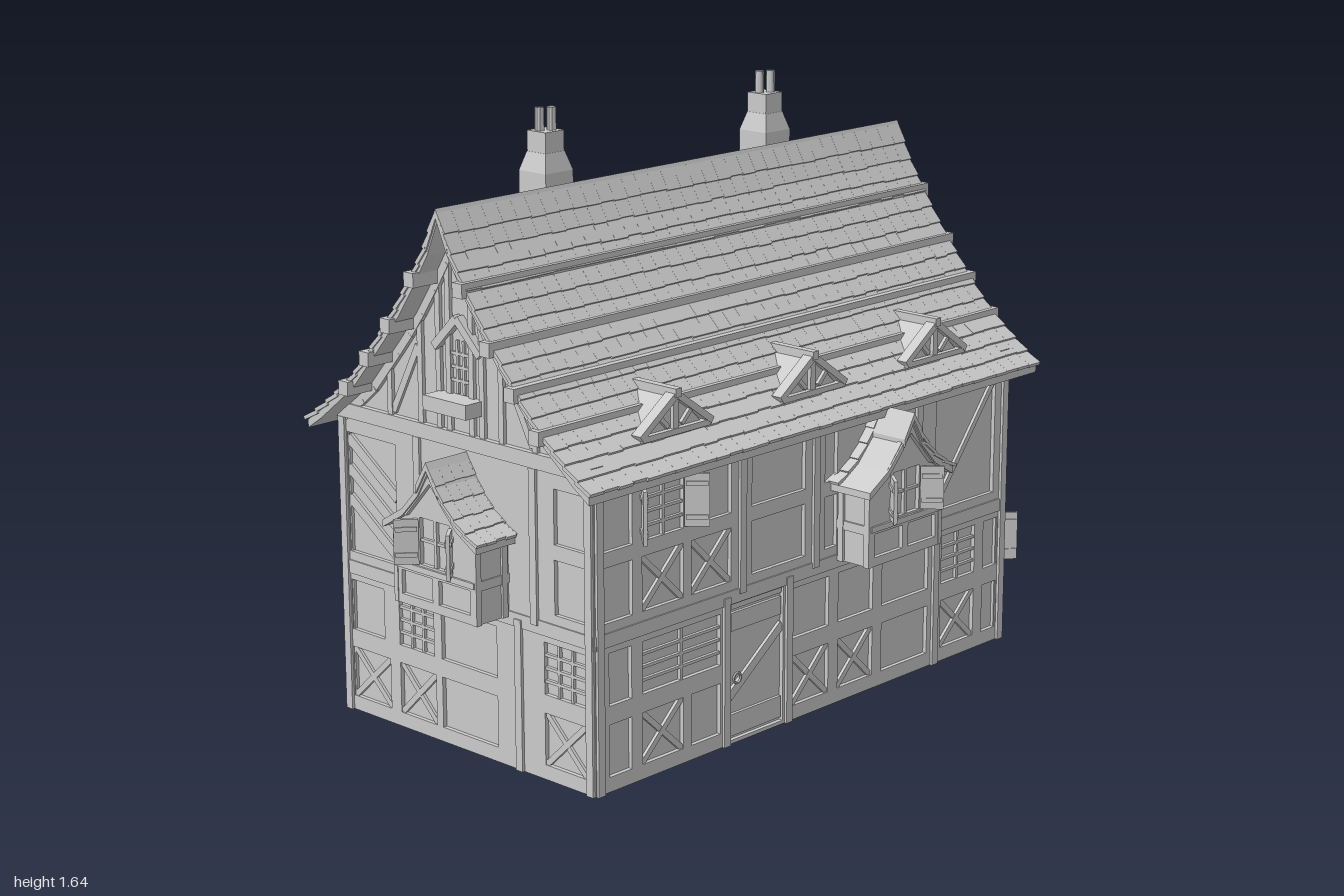
import * as THREE from 'three';
import { mergeGeometries } from 'three/addons/utils/BufferGeometryUtils.js';
import { ConvexGeometry } from 'three/addons/geometries/ConvexGeometry.js';

const mat = new THREE.MeshStandardMaterial({ color: 0xcccccc, flatShading: true });
const V = (x, y, z) => new THREE.Vector3(x, y, z);
let seed = 7;
const rand = () => (seed = (seed * 16807) % 2147483647) / 2147483647;

function add(parent, name, geometry, x = 0, y = 0, z = 0) {
  const m = new THREE.Mesh(geometry, mat);
  m.name = name;
  m.position.set(x, y, z);
  parent.add(m);
  return m;
}
function group(parent, name, x = 0, y = 0, z = 0, ry = 0) {
  const g = new THREE.Group();
  g.name = name;
  g.position.set(x, y, z);
  g.rotation.y = ry;
  parent.add(g);
  return g;
}
// Box given by its limits
const block = (p, name, x0, x1, y0, y1, z0, z1) =>
  add(p, name, new THREE.BoxGeometry(x1 - x0, y1 - y0, z1 - z0), (x0 + x1) / 2, (y0 + y1) / 2, (z0 + z1) / 2);
// Straight timber between two points of a wall plane
function beam(p, name, x0, y0, x1, y1, w, z0, z1) {
  const m = add(p, name, new THREE.BoxGeometry(Math.hypot(x1 - x0, y1 - y0), w, z1 - z0), (x0 + x1) / 2, (y0 + y1) / 2, (z0 + z1) / 2);
  m.rotation.z = Math.atan2(y1 - y0, x1 - x0);
}
function extrude(points, depth, holes = []) {
  const shape = new THREE.Shape(points.map(([x, y]) => new THREE.Vector2(x, y)));
  for (const [a, b, c, d] of holes)
    shape.holes.push(new THREE.Path([[a, c], [a, d], [b, d], [b, c]].map(([x, y]) => new THREE.Vector2(x, y))));
  return new THREE.ExtrudeGeometry(shape, { depth, bevelEnabled: false });
}

// Roof profiles: distance from the ridge, height
const MAIN = [[0, 1.45], [0.04, 1.36], [0.1, 1.265], [0.155, 1.185], [0.21, 1.115], [0.34, 0.965], [0.47, 0.862], [0.525, 0.825]];
const SMALL = [[0, 0.815], [0.04, 0.748], [0.1, 0.685], [0.175, 0.64]];
function heightAt(profile, d) {
  const i = Math.max(1, profile.findIndex(q => q[0] >= Math.abs(d) - 1e-6));
  const [a, b] = [profile[i - 1], profile[i]];
  return a[1] + (b[1] - a[1]) * (Math.abs(d) - a[0]) / (b[0] - a[0]);
}
const mirrored = half => [...half.slice().reverse().map(([d, y]) => [-d, y]), ...half.slice(1)];

// Swept two-sided roof, ridge along x, covered by ragged courses of shingles
function shingledRoof(parent, name, profile, x0, x1, rows, columns, thick) {
  const g = group(parent, name);
  const top = mirrored(profile);
  const slab = (pts, up, down) => [...pts.map(([d, y]) => [d, y - up]), ...pts.slice().reverse().map(([d, y]) => [d, y - down])].reverse();
  const deck = extrude(slab(top, thick, thick * 2.6), x1 - x0 - 0.01).rotateY(Math.PI / 2).translate(x0 + 0.005, 0, 0);
  add(g, 'roofDeck', deck);
  const capPts = [-1, 0, 1].map(s => [s * profile[1][0], profile[s ? 1 : 0][1]]);
  add(g, 'ridgeCap', extrude(slab(capPts, 0, thick * 1.8), x1 - x0).rotateY(Math.PI / 2).translate(x0, 0, 0));
  const curve = new THREE.CatmullRomCurve3(profile.map(([d, y]) => V(0, y - thick * 0.9, d)));
  const pts = curve.getSpacedPoints(rows);
  const w = (x1 - x0) / columns, tiles = [];
  for (const side of [0, Math.PI])
    for (let r = 0; r < rows; r++) {
      const T = pts[r], B = pts[r + 1], L = T.distanceTo(B);
      const a = Math.atan2(T.y - B.y, B.z - T.z);
      for (let c = 0; c < columns; c++) {
        const len = L * (1.06 + 0.1 * rand());
        tiles.push(new THREE.BoxGeometry(w * 0.995, thick * 0.75, len)
          .translate(0, 0, len / 2).rotateX(a - thick * 0.45 / L)
          .translate(x0 + w * (c + 0.5), T.y, T.z).rotateY(side));
      }
    }
  add(g, 'shingles', mergeGeometries(tiles));
  return g;
}

// Fillings of a wall panel: cross, braces, lattice or slats
function fillPanel(p, [a, b, c, d, kind]) {
  const z0 = -0.02, z1 = -0.003, mx = (a + b) / 2;
  if (kind === 'x' || kind === '/') beam(p, 'brace', a, c, b, d, 0.016, z0, z1);
  if (kind === 'x' || kind === '\\') beam(p, 'brace', a, d, b, c, 0.016, z0, z1 - 0.001);
  if (kind === 'braces' || kind === 'bracesFlip')
    for (const t of [0.05, 0.3, 0.55]) {
      const y0 = c + (d - c) * t, y1 = y0 + (d - c) * 0.4;
      const f = kind === 'braces';
      beam(p, 'brace', a, f ? y0 : y1, b, f ? y1 : y0, 0.03, z0, z1);
    }
  if (kind === 'grid' || kind === 'slats') {
    const n = kind === 'grid' ? 3 : 2, h = 0.008;
    for (let i = 1; i < n; i++) beam(p, 'mullion', a + (b - a) * i / n, c, a + (b - a) * i / n, d, h, z0, z1);
    for (let i = 1; i < 4; i++) beam(p, 'glazingBar', a, c + (d - c) * i / 4, b, c + (d - c) * i / 4, h, z0, z1);
  }
  if (kind === 'door') {
    for (const [y0, y1] of [[0.02, 0.08], [0.31, 0.36], [0.37, 0.4]]) block(p, 'doorRail', a + 0.005, b - 0.005, c + y0 - 0.01, c + y1 - 0.01, z0, z1);
    beam(p, 'doorBrace', a, c + 0.12, b, c + 0.27, 0.025, z0, z1);
    add(p, 'doorRing', new THREE.TorusGeometry(0.014, 0.004, 6, 16), mx - 0.08, 0.18, 0.002);
  }
}

// Timber frame with recessed panels; outer face at z = 0
function timberWall(parent, name, u0, u1, top, panels, posts, x, z, ry) {
  const g = group(parent, name, x, 0, z, ry);
  add(g, 'timberFrame', extrude([[u0, 0], [u1, 0], [u1, top], [u0, top]], 0.03, panels), 0, 0, -0.03);
  block(g, 'plaster', u0 + 0.01, u1 - 0.01, 0.001, top, -0.02, -0.012);
  panels.forEach(p => fillPanel(g, p));
  for (const [u, y0, y1] of posts) block(g, 'post', u - 0.012, u + 0.012, y0, y1, -0.035, 0.008);
  block(g, 'middleRail', u0, u1, 0.388, 0.425, -0.035, 0.004);
  return g;
}

// Open shutter hinged at u, swinging outwards on the given side
function shutter(p, u, y0, y1, z, side, angle = 0.85) {
  const g = group(p, 'shutter', u, 0, z, side > 0 ? -angle : Math.PI + angle);
  block(g, 'shutterBoard', 0, 0.064, y0, y1, -0.005, 0.005);
  for (const y of [y0 + 0.02, y1 - 0.032]) block(g, 'shutterBatten', 0.004, 0.06, y, y + 0.012, -0.009, 0.009);
}

// Bay window with a small swept roof
function bayWindow(parent, u) {
  const g = group(parent, 'bayWindow', u, 0, 0);
  const D = 0.115, W = 0.148;
  const under = mirrored([[0, 0.78], [0.04, 0.715], [0.1, 0.655], [W, 0.63]]);
  const face = [[-W, 0.41], [W, 0.41], ...under.slice().reverse()];
  add(g, 'bayBody', extrude(face, D - 0.012));
  add(g, 'bayFrame', extrude(face, 0.012, [[-0.128, -0.012, 0.435, 0.5], [0.012, 0.128, 0.435, 0.5], [-0.055, 0.055, 0.53, 0.655]]), 0, 0, D - 0.012);
  beam(g, 'mullion', 0, 0.53, 0, 0.655, 0.01, D - 0.014, D - 0.002);
  beam(g, 'glazingBar', -0.055, 0.595, 0.055, 0.595, 0.008, D - 0.014, D - 0.003);
  block(g, 'baySill', -W, W, 0.508, 0.524, 0, D + 0.006);
  for (const s of [-1, 1]) {
    shutter(g, s * 0.06, 0.53, 0.65, D, s);
    beam(g, 'gableRafter', 0, 0.77, s * 0.1, 0.66, 0.018, D, D + 0.015);
    for (const z of [0.008, D - 0.016]) block(g, 'bayPost', s * W - 0.008, s * W + 0.006, 0.41, 0.635, z, z + 0.018);
    block(g, 'sideRail', s * W - 0.006, s * W + 0.004, 0.5, 0.525, 0, D);
  }
  shingledRoof(g, 'bayRoof', SMALL, -0.14, 0.03, 5, 5, 0.012).rotation.y = Math.PI / 2;
}

// Gable above an end wall, centred on u = c
function gable(g, c) {
  const curve = [];
  for (let i = -10; i <= 10; i++) curve.push([c + i * 0.0475, heightAt(MAIN, i * 0.0475) - 0.03]);
  add(g, 'gablePlaster', extrude([[c - 0.475, 0.8], [c + 0.475, 0.8], ...curve.slice().reverse()], 0.02), 0, 0, -0.03);
  block(g, 'tieBeam', c - 0.475, c + 0.475, 0.82, 0.86, -0.035, 0.006);
  for (let i = 0; i < 20; i++)
    beam(g, 'gableRafter', curve[i][0], curve[i][1] - 0.018, curve[i + 1][0], curve[i + 1][1] - 0.018, 0.034, -0.03, 0.002);
  for (const s of [-1, 1]) {
    for (const d of [0.042, 0.08, 0.15, 0.27]) block(g, 'gablePost', c + s * d - 0.009, c + s * d + 0.009, 0.86, heightAt(MAIN, d) - 0.05, -0.03, 0);
    beam(g, 'archBrace', c, 1.16, c + s * 0.085, 1.075, 0.022, -0.03, 0.012);
    beam(g, 'sideBrace', c + s * 0.16, 1.06, c + s * 0.26, 0.87, 0.02, -0.03, -0.002);
  }
  block(g, 'windowLedge', c - 0.08, c + 0.08, 0.918, 0.957, -0.02, 0.055);
  fillPanel(g, [c - 0.035, c + 0.035, 0.96, 1.1, 'grid']);
}

function dormer(parent, x) {
  const g = group(parent, 'dormer', x);
  add(g, 'dormerBody', new ConvexGeometry([V(-0.125, 0.87, 0.385), V(0.125, 0.87, 0.385), V(0, 0.985, 0.385), V(0, 0.985, 0.24)]));
  block(g, 'dormerRidge', -0.011, 0.011, 0.975, 0.998, 0.24, 0.405);
  for (const s of [-1, 1]) {
    beam(g, 'dormerRafter', 0, 0.982, s * 0.13, 0.89, 0.018, 0.37, 0.402);
    beam(g, 'dormerStrut', s * 0.025, 0.9, s * 0.06, 0.935, 0.012, 0.38, 0.395);
  }
  block(g, 'dormerSill', -0.125, 0.125, 0.878, 0.893, 0.37, 0.4);
  block(g, 'dormerPost', -0.01, 0.01, 0.89, 0.985, 0.38, 0.396);
}

function chimney(parent, x) {
  const g = group(parent, 'chimney', x, 0, -0.155);
  block(g, 'chimneyStack', -0.05, 0.05, 1.04, 1.47, -0.05, 0.05);
  const r = Math.SQRT2;
  add(g, 'chimneyShoulder', new THREE.CylinderGeometry(0.035 * r, 0.05 * r, 0.05, 4).rotateY(Math.PI / 4), 0, 1.495, 0);
  block(g, 'chimneyNeck', -0.034, 0.034, 1.51, 1.575, -0.034, 0.034);
  for (const s of [-1, 1])
    add(g, 'chimneyPot', new THREE.CylinderGeometry(0.012, 0.013, 0.065, 10), s * 0.014, 1.603, s * 0.008);
}

export function createModel() {
  const house = new THREE.Group();
  house.name = 'timberFramedHouse';
  const low = [0.04, 0.18], mid = [0.23, 0.37], up = [0.45, 0.595], high = [0.635, 0.78], tall = [0.45, 0.78];
  const row = (band, ...cells) => cells.map(([a, b, kind]) => [a, b, ...band, kind]);

  // Front wall
  const front = timberWall(house, 'frontWall', -0.83, 0.83, 0.83, [
    ...row(low, [-0.78, -0.7], [-0.66, -0.51, 'x'], [-0.48, -0.37], [-0.085, 0.06, 'x'], [0.1, 0.245, 'x'], [0.285, 0.485], [0.545, 0.695, 'x'], [0.735, 0.8]),
    ...row(mid, [-0.78, -0.7], [-0.66, -0.37, 'slats'], [-0.085, 0.06], [0.1, 0.245], [0.285, 0.485], [0.545, 0.695, 'slats'], [0.735, 0.8]),
    ...row(up, [-0.8, -0.695], [-0.66, -0.51, 'x'], [-0.48, -0.33, 'x'], [-0.25, -0.04], [0.04, 0.09]),
    ...row(high, [-0.8, -0.695], [-0.65, -0.51, 'slats'], [-0.45, -0.33], [-0.25, -0.04], [0.04, 0.09]),
    ...row(tall, [0.51, 0.775, '/']), [-0.33, -0.125, 0.01, 0.385, 'door'],
  ], [[-0.815, 0, 0.82], [-0.35, 0, 0.41], [-0.105, 0, 0.41], [0.515, 0, 0.41], [0.815, 0, 0.82], [-0.29, 0.41, 0.82], [0, 0.41, 0.82], [0.43, 0.41, 0.82]], 0, 0.42, 0);
  bayWindow(front, 0.24);
  shutter(front, -0.655, 0.64, 0.78, 0, -1);
  shutter(front, -0.505, 0.64, 0.78, 0, 1);

  // Back wall
  timberWall(house, 'backWall', -0.83, 0.83, 0.83, [
    ...row(low, [-0.8, -0.7], [-0.65, -0.46], [-0.4, -0.25], [-0.22, -0.07], [-0.03, 0.12, 'x'], [0.15, 0.29, 'x'], [0.33, 0.46]),
    ...row(mid, [-0.8, -0.7], [-0.65, -0.46], [-0.4, -0.25, 'slats'], [-0.22, -0.07, 'slats'], [-0.03, 0.12, 'grid'], [0.15, 0.29, 'grid'], [0.33, 0.46]),
    ...row([0.04, 0.37], [0.52, 0.79, '/']),
    ...row(up, [-0.8, -0.7], [-0.65, -0.52, 'x'], [-0.49, -0.36, 'x'], [-0.03, 0.16], [0.41, 0.65], [0.7, 0.8]),
    ...row(high, [-0.8, -0.7], [-0.65, -0.36, 'slats'], [-0.03, 0.16], [0.41, 0.65], [0.7, 0.8]),
    ...row(tall, [-0.26, -0.1, '\\'], [0.21, 0.36, '/']),
  ], [[-0.815, 0, 0.82], [-0.43, 0, 0.41], [-0.05, 0, 0.41], [0.49, 0, 0.41], [0.815, 0, 0.82], [-0.31, 0.41, 0.82], [-0.065, 0.41, 0.82], [0.185, 0.41, 0.82], [0.385, 0.41, 0.82]], 0, -0.53, Math.PI);

  // End walls, mirrored to each other
  for (const s of [1, -1]) {
    const flip = { braces: 'bracesFlip' };
    const panels = [
      ...row(low, [-0.385, -0.24, 'x'], [-0.065, 0.145], [0.17, 0.31, 'x'], [0.35, 0.5, 'x']),
      ...row(mid, [-0.385, -0.24, 'grid'], [-0.065, 0.145], [0.175, 0.31, 'grid'], [0.37, 0.5]),
      ...row(up, [-0.385, -0.28]), ...row(high, [-0.385, -0.28]), ...row(tall, [0.31, 0.5, 'braces']),
    ].map(([a, b, c, d, k]) => s > 0 ? [a, b, c, d, k] : [-b, -a, c, d, flip[k] || k]);
    const posts = [[-0.405, 0, 0.82], [0.515, 0, 0.82], [-0.15, 0, 0.41], [-0.21, 0.41, 0.82], [0.22, 0.41, 0.82]].map(([u, a, b]) => [s * u, a, b]);
    const ends = s > 0 ? [-0.42, 0.53] : [-0.53, 0.42];
    const wall = timberWall(house, s > 0 ? 'rightWall' : 'leftWall', ...ends, 0.83, panels, posts, s * 0.83, 0, s * Math.PI / 2);
    gable(wall, s * 0.055);
    bayWindow(wall, s > 0 ? 0.005 : -0.035);
    if (s > 0) for (const [u, side] of [[-0.39, -1], [-0.235, 1], [0.165, -1], [0.315, 1]]) shutter(wall, u, 0.23, 0.37, 0, side);
  }

  // Main roof with purlins
  const roof = group(house, 'mainRoof', 0, 0, -0.055);
  shingledRoof(roof, 'roofCovering', MAIN, -0.9, 0.9, 16, 36, 0.014);
  for (const s of [-1, 1])
    for (const d of [0.09, 0.185, 0.27, 0.355])
      block(roof, 'purlin', -0.915, 0.915, heightAt(MAIN, d) - 0.042, heightAt(MAIN, d) - 0.004, s * d - 0.018, s * d + 0.018);

  for (const x of [-0.51, 0.015, 0.53]) dormer(house, x);
  for (const x of [-0.42, 0.435]) chimney(house, x);
  return house;
}
